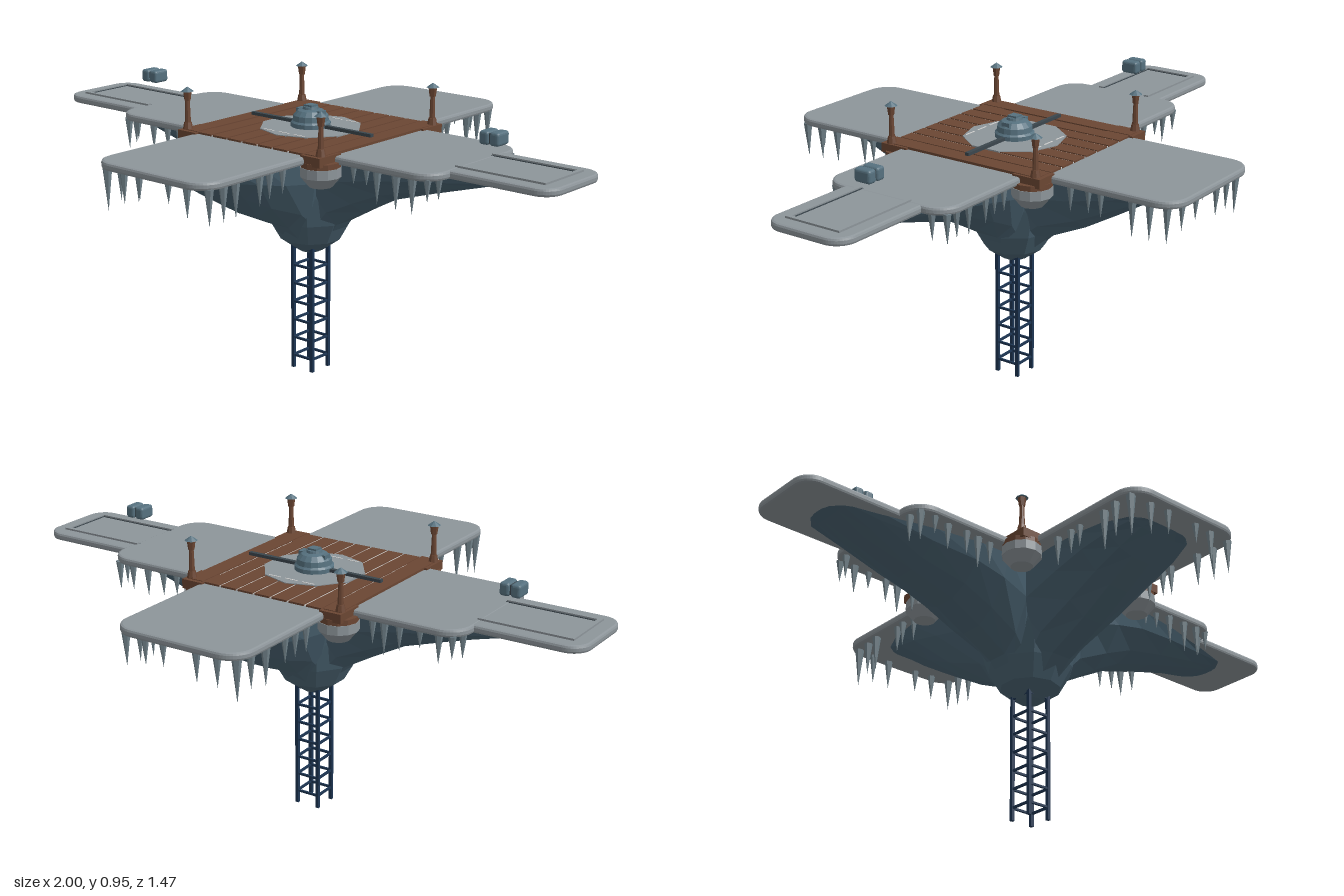
import * as THREE from 'three';
import { RoundedBoxGeometry } from 'three/addons/geometries/RoundedBoxGeometry.js';

export function createModel() {
  const root = new THREE.Group();
  root.name = 'floatingPlatform';

  const mat = (name, color, flat = true) => {
    const m = new THREE.MeshStandardMaterial({ color, flatShading: flat });
    m.name = name;
    return m;
  };
  const stone = mat('greyStone', 0x8d959a);
  const hullBlue = mat('hullBlue', 0x4b6473);
  const wood = mat('brownWood', 0x6b4633);
  const metal = mat('tealMetal', 0x56717f);
  const navy = mat('navySteel', 0x1d3552);
  const ice = mat('greyIce', 0x72838b);
  const pale = mat('paleGap', 0xd0d0ce);
  const dark = mat('darkMetal', 0x3b464d);

  const add = (name, geo, material, x = 0, y = 0, z = 0, parent = root) => {
    const m = new THREE.Mesh(geo, material);
    m.name = name;
    m.position.set(x, y, z);
    parent.add(m);
    return m;
  };
  const box = (name, w, h, d, material, x, y, z, parent) =>
    add(name, new THREE.BoxGeometry(w, h, d), material, x, y, z, parent);

  // Rounded slab with bevelled rim, top at the given height
  const slab = (name, hx, hz, top, r) => {
    const b = 0.008, w = hx - b, d = hz - b;
    const s = new THREE.Shape();
    s.moveTo(-w + r, -d);
    s.lineTo(w - r, -d); s.absarc(w - r, -d + r, r, -Math.PI / 2, 0);
    s.lineTo(w, d - r); s.absarc(w - r, d - r, r, 0, Math.PI / 2);
    s.lineTo(-w + r, d); s.absarc(-w + r, d - r, r, Math.PI / 2, Math.PI);
    s.lineTo(-w, -d + r); s.absarc(-w + r, -d + r, r, Math.PI, Math.PI * 1.5);
    const g = new THREE.ExtrudeGeometry(s, {
      depth: 0.01, bevelEnabled: true, bevelSize: b, bevelThickness: 0.008, bevelSegments: 2, curveSegments: 6,
    });
    g.rotateX(-Math.PI / 2);
    add(name, g, stone, 0, top - 0.018, 0);
  };
  slab('longArms', 0.233, 0.733, 0.81, 0.07);
  slab('sideArms', 0.655, 0.232, 0.809, 0.07);
  slab('sideTips', 1.0, 0.146, 0.808, 0.055);

  // Hull lobes: [distance, half width, keel height] sections
  const lobe = (name, sections, angle) => {
    const top = 0.786, pos = [], idx = [];
    const half = [[1, 0], [0.88, 0.38], [0.55, 0.78], [0.22, 0.97]];
    const ring = [...half, ...half.slice().reverse().map(([u, v]) => [-u, v])];
    const n = ring.length;
    for (const [d, w, keel] of sections)
      for (const [u, v] of ring) pos.push(u * w, top - v * (top - keel), d);
    for (let i = 0; i < sections.length - 1; i++)
      for (let j = 0; j < n - 1; j++) {
        const a = i * n + j, b = a + 1, c = a + n, e = c + 1;
        idx.push(a, c, b, b, c, e);
      }
    const g = new THREE.BufferGeometry();
    g.setAttribute('position', new THREE.Float32BufferAttribute(pos, 3));
    g.setIndex(idx);
    g.computeVertexNormals();
    add(name, g, hullBlue).rotation.y = angle;
  };
  const longLobe = [[0, 0.13, 0.42], [0.1, 0.15, 0.46], [0.15, 0.165, 0.51], [0.3, 0.18, 0.58],
    [0.42, 0.18, 0.65], [0.52, 0.165, 0.71], [0.6, 0.13, 0.765], [0.63, 0.09, 0.784]];
  const sideLobe = [[0, 0.13, 0.42], [0.1, 0.15, 0.46], [0.14, 0.165, 0.515], [0.25, 0.185, 0.58],
    [0.36, 0.185, 0.64], [0.52, 0.16, 0.69], [0.7, 0.12, 0.742], [0.82, 0.095, 0.775], [0.87, 0.06, 0.784]];
  [0, Math.PI].forEach((a) => {
    lobe('longHullLobe', longLobe, a);
    lobe('sideHullLobe', sideLobe, a + Math.PI / 2);
  });

  // Central keel
  const keel = [[0, 0.392], [0.04, 0.408], [0.1, 0.45], [0.14, 0.52], [0.175, 0.62], [0.22, 0.784]];
  add('keel', new THREE.LatheGeometry(keel.map((p) => new THREE.Vector2(...p)), 10), hullBlue);

  // Lattice mast
  const mast = new THREE.Group();
  mast.name = 'mast';
  root.add(mast);
  for (const sx of [-1, 1])
    for (const sz of [-1, 1]) box('mastPost', 0.011, 0.44, 0.011, navy, sx * 0.04, 0.22, sz * 0.04, mast);
  for (let i = 0; i < 7; i++) {
    const y = 0.043 + i * 0.0625;
    for (const s of [-1, 1]) {
      box('mastRung', 0.08, 0.007, 0.007, navy, 0, y, s * 0.04, mast);
      box('mastRung', 0.007, 0.007, 0.08, navy, s * 0.04, y, 0, mast);
    }
  }

  // Timber deck: pale underlay, planks and side beams
  box('deckUnderlay', 0.46, 0.006, 0.576, pale, 0, 0.81, 0);
  for (let i = -3; i <= 3; i++) box('plank', 0.055, 0.008, 0.58, wood, i * 0.063, 0.812, 0);
  for (const s of [-1, 1]) box('sideBeam', 0.06, 0.03, 0.58, wood, s * 0.254, 0.802, 0);

  // Worn stone patch in the deck centre
  add('centrePatch', new THREE.CylinderGeometry(0.165, 0.165, 0.006, 10), stone, 0, 0.8155, 0);
  for (const s of [-1, 1])
    for (const x of [-0.063, 0, 0.063]) box('patchMark', 0.045, 0.002, 0.005, pale, x, 0.8185, s * 0.13);

  // Turret and cross bar
  const dome = [[0, 0.815], [0.064, 0.815], [0.064, 0.832], [0.058, 0.838], [0.056, 0.855],
    [0.042, 0.87], [0.026, 0.874], [0.024, 0.882], [0, 0.884]];
  add('turret', new THREE.LatheGeometry(dome.map((p) => new THREE.Vector2(...p)), 16), metal);
  box('turretHatch', 0.032, 0.006, 0.032, metal, 0, 0.885, 0);
  for (const s of [-1, 1]) box('turretBolt', 0.014, 0.02, 0.03, metal, s * 0.043, 0.863, 0);
  box('crossBar', 0.5, 0.01, 0.014, dark, 0, 0.824, 0);

  for (const s of [-1, 1]) {
    // Hovering pod above each tip
    const pod = new THREE.Group();
    pod.name = 'hoverPod';
    pod.position.set(s * 0.705, 0.89, 0);
    root.add(pod);
    for (const t of [-1, 1])
      add('podHalf', new RoundedBoxGeometry(0.033, 0.042, 0.06, 2, 0.009), metal, t * 0.0185, 0, 0, pod);
    box('podCore', 0.03, 0.03, 0.045, dark, 0, 0, 0, pod);

    // Raised frame on each tip
    for (const t of [-1, 1]) box('tipRail', 0.31, 0.008, 0.014, stone, s * 0.795, 0.81, t * 0.093);
    box('tipRailEnd', 0.014, 0.008, 0.2, stone, s * 0.945, 0.81, 0);
    for (const t of [-1, 1]) box('railGroove', 0.3, 0.003, 0.004, dark, s * 0.79, 0.8085, t * 0.084);
    box('railGroove', 0.004, 0.003, 0.17, dark, s * 0.936, 0.8085, 0);
  }

  // Corner brackets with lamp posts
  for (const sx of [-1, 1])
    for (const sz of [-1, 1]) {
      const c = new THREE.Group();
      c.name = 'cornerLamp';
      c.scale.set(1, 1, 1);
      c.position.set(sx * 0.276, 0, sz * 0.276);
      root.add(c);
      const ix = -sx * 0.026, iz = -sz * 0.03;
      box('cornerPlate', 0.076, 0.03, 0.1, wood, -sx * 0.02, 0.8, -sz * 0.022, c);
      add('cornerCollar', new THREE.CylinderGeometry(0.062, 0.062, 0.02, 12), wood, ix, 0.782, iz, c);
      add('cornerDrum', new THREE.CylinderGeometry(0.064, 0.064, 0.03, 12), stone, ix, 0.76, iz, c);
      add('cornerBowl', new THREE.CylinderGeometry(0.064, 0.036, 0.034, 12), stone, ix, 0.729, iz, c);
      add('postFoot', new THREE.CylinderGeometry(0.012, 0.017, 0.025, 8), wood, 0, 0.825, 0, c);
      add('post', new THREE.CylinderGeometry(0.007, 0.01, 0.09, 8), wood, 0, 0.87, 0, c);
      add('lantern', new THREE.CylinderGeometry(0.014, 0.01, 0.03, 6), wood, 0, 0.922, 0, c);
      add('lanternCap', new THREE.ConeGeometry(0.021, 0.015, 8), metal, 0, 0.944, 0, c);
    }

  // Icicles under the arm edges
  let seed = 7;
  const rnd = () => (seed = (seed * 16807) % 2147483647) / 2147483647;
  const icicle = (x, z, len) => {
    const g = new THREE.ConeGeometry(0.009 + len * 0.05, len, 6);
    g.rotateX(Math.PI);
    add('icicle', g, ice, x, 0.788 - len / 2, z);
  };
  for (const sx of [-1, 1])
    for (const sz of [-1, 1]) {
      for (const z of [0.69, 0.63, 0.57, 0.46, 0.42, 0.36])
        icicle(sx * (0.195 + rnd() * 0.02), sz * z, (z > 0.5 ? 0.11 : 0.07) + rnd() * 0.035);
      for (const x of [0.62, 0.57, 0.51, 0.44, 0.39, 0.34])
        icicle(sx * x, sz * (0.195 + rnd() * 0.02), 0.06 + rnd() * 0.06);
      icicle(sx * 0.06, sz * 0.7, 0.07 + rnd() * 0.04);
      icicle(sx * 0.13, sz * 0.695, 0.08 + rnd() * 0.04);
      icicle(sx * 0.63, sz * 0.165, 0.06 + rnd() * 0.04);
    }
  return root;
}
